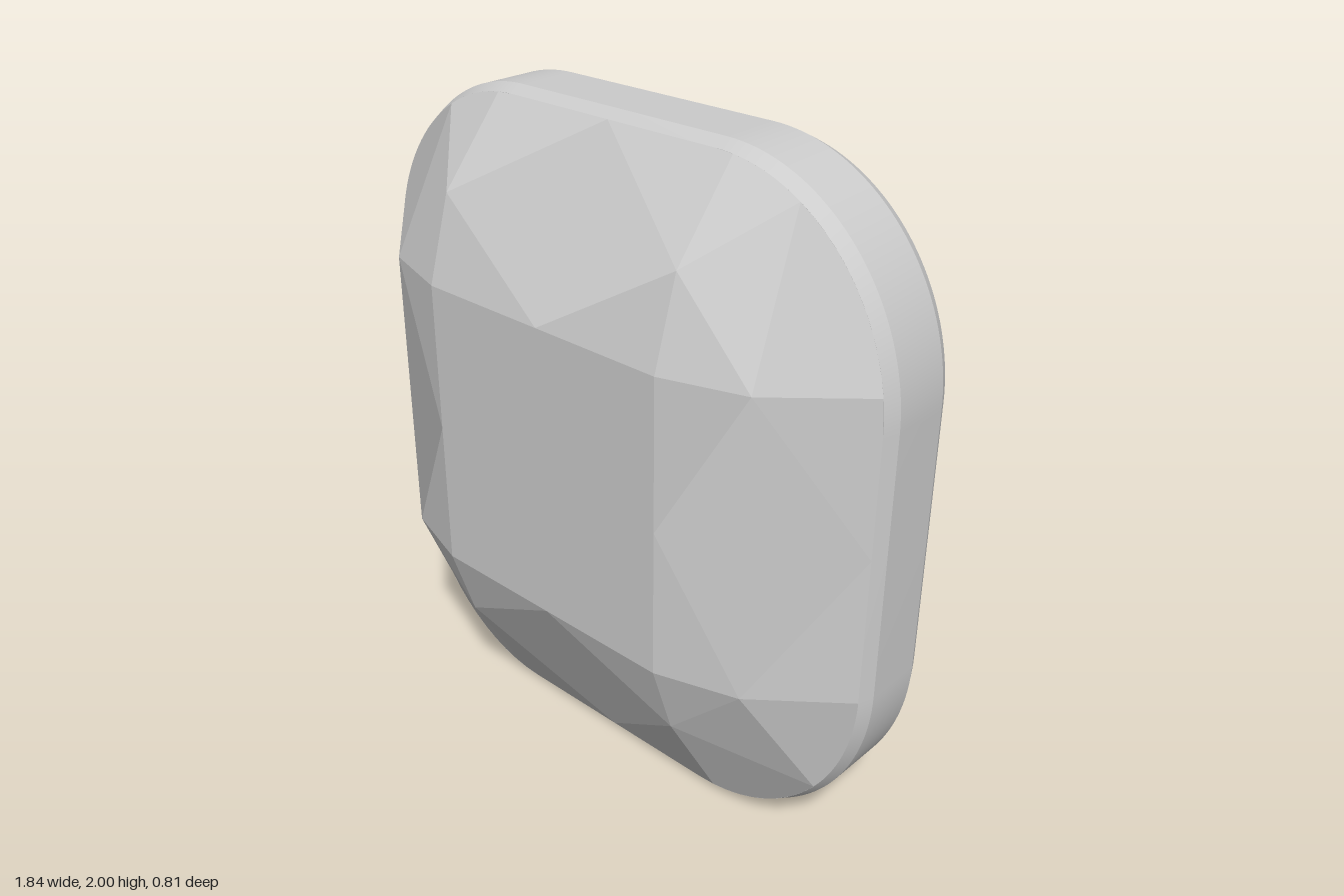
import * as THREE from 'three';
import { toCreasedNormals } from 'three/addons/utils/BufferGeometryUtils.js';

const W = 0.92, RX = 0.56, RY = 0.61; // half width and corner radii of the girdle
const RIM = 0.13, STAR = 0.33, TABLE = 0.405, INSET = 0.02;
const MID = 1.045; // height of the side facets' points

// Point on the crown's rim: angle 0 at the side, 90 at the top or bottom
function rim(sx, sy, degrees) {
  const a = THREE.MathUtils.degToRad(degrees);
  return new THREE.Vector3(
    sx * (W - RX + (RX - INSET) * Math.cos(a)),
    1 + sy * (1 - RY + (RY - INSET) * Math.sin(a)),
    RIM
  );
}

function arc(sx, sy, from, to, steps) {
  return Array.from({ length: steps + 1 }, (_, i) => rim(sx, sy, from + (to - from) * i / steps));
}

// Flat facets, each shaded with one normal for the whole polygon
function facetGeometry(facets) {
  const positions = [], normals = [];
  const centre = new THREE.Vector3(0, 1, 0);
  for (let pts of facets) {
    const n = new THREE.Vector3();
    const middle = new THREE.Vector3();
    pts.forEach((p, i) => {
      n.add(p.clone().cross(pts[(i + 1) % pts.length]));
      middle.add(p);
    });
    middle.divideScalar(pts.length).sub(centre);
    if (n.dot(middle) < 0) {
      n.negate();
      pts = [pts[0], ...pts.slice(1).reverse()];
    }
    n.normalize();
    for (let i = 1; i < pts.length - 1; i++) {
      for (const p of [pts[0], pts[i], pts[i + 1]]) {
        positions.push(p.x, p.y, p.z);
        normals.push(n.x, n.y, n.z);
      }
    }
  }
  const g = new THREE.BufferGeometry();
  g.setAttribute('position', new THREE.Float32BufferAttribute(positions, 3));
  g.setAttribute('normal', new THREE.Float32BufferAttribute(normals, 3));
  return g;
}

function crownGeometry() {
  const v = (x, y, z) => new THREE.Vector3(x, y, z);
  const facets = [];
  const ends = [
    { sy: 1, yIn: 1.49, yOut: 1.74, tip: 61, side: 10 },
    { sy: -1, yIn: 0.6, yOut: 0.37, tip: 39, side: 1 },
  ];

  // Table
  facets.push([v(-0.42, 0.6, TABLE), v(0.42, 0.6, TABLE), v(0.42, 1.49, TABLE), v(-0.42, 1.49, TABLE)]);

  for (const { sy, yIn, yOut, tip, side } of ends) {
    const endRim = v(0, 1 + sy * (1 - INSET), RIM);
    // Kite facet at the top or bottom, ridged across its width
    facets.push([v(-0.42, yOut, STAR), v(0, yIn, TABLE), v(0.42, yOut, STAR), endRim]);

    for (const sx of [-1, 1]) {
      const corner = v(sx * 0.42, yIn, TABLE);
      const a = v(sx * 0.42, yOut, STAR);
      const b = v(sx * 0.66, yIn, STAR);
      const sideRim = v(sx * (W - INSET), MID, RIM);
      const half = b.clone().lerp(sideRim, 0.5);
      // Star facets around the table
      facets.push([v(0, yIn, TABLE), corner, a]);
      facets.push([v(sx * 0.42, MID, TABLE), corner, b]);
      // Corner facets
      facets.push([corner, a, b]);
      facets.push([a, rim(sx, sy, tip), b]);
      // Facets running out to the rim
      facets.push([a, endRim, rim(sx, sy, 90), rim(sx, sy, 84)]);
      facets.push([a, ...arc(sx, sy, 84, tip, 8)]);
      facets.push([b, ...arc(sx, sy, tip, side, 10)]);
      facets.push([b, rim(sx, sy, side), half]);
      facets.push([half, rim(sx, sy, side), rim(sx, sy, 0), sideRim]);
    }
  }

  // Kite facets at the sides
  for (const sx of [-1, 1]) {
    facets.push([
      v(sx * 0.66, 1.49, STAR), v(sx * 0.42, MID, TABLE),
      v(sx * 0.66, 0.6, STAR), v(sx * (W - INSET), MID, RIM),
    ]);
  }
  return facetGeometry(facets);
}

// Rounded band with chamfered edges
function girdleGeometry() {
  const s = new THREE.Shape();
  const cx = W - RX, cy = 1 - RY;
  s.moveTo(W, 1 - cy);
  s.lineTo(W, 1 + cy);
  s.absellipse(cx, 1 + cy, RX, RY, 0, Math.PI / 2);
  s.absellipse(-cx, 1 + cy, RX, RY, Math.PI / 2, Math.PI);
  s.absellipse(-cx, 1 - cy, RX, RY, Math.PI, Math.PI * 1.5);
  s.absellipse(cx, 1 - cy, RX, RY, Math.PI * 1.5, Math.PI * 2);
  const g = new THREE.ExtrudeGeometry(s, {
    depth: 0.18, curveSegments: 20, bevelEnabled: true, bevelSegments: 1,
    bevelThickness: RIM - 0.09, bevelSize: INSET, bevelOffset: -INSET,
  });
  g.translate(0, 0, -0.09);
  return toCreasedNormals(g, 0.4);
}

export function createModel() {
  const group = new THREE.Group();
  group.name = 'cushionCutGem';
  const material = new THREE.MeshStandardMaterial({ color: 0xcccccc });

  const girdle = new THREE.Mesh(girdleGeometry(), material);
  girdle.name = 'girdle';

  const crown = crownGeometry();
  const front = new THREE.Mesh(crown, material);
  front.name = 'frontFacets';
  const back = new THREE.Mesh(crown, material);
  back.name = 'backFacets';
  back.rotation.y = Math.PI;

  group.add(girdle, front, back);
  return group;
}
